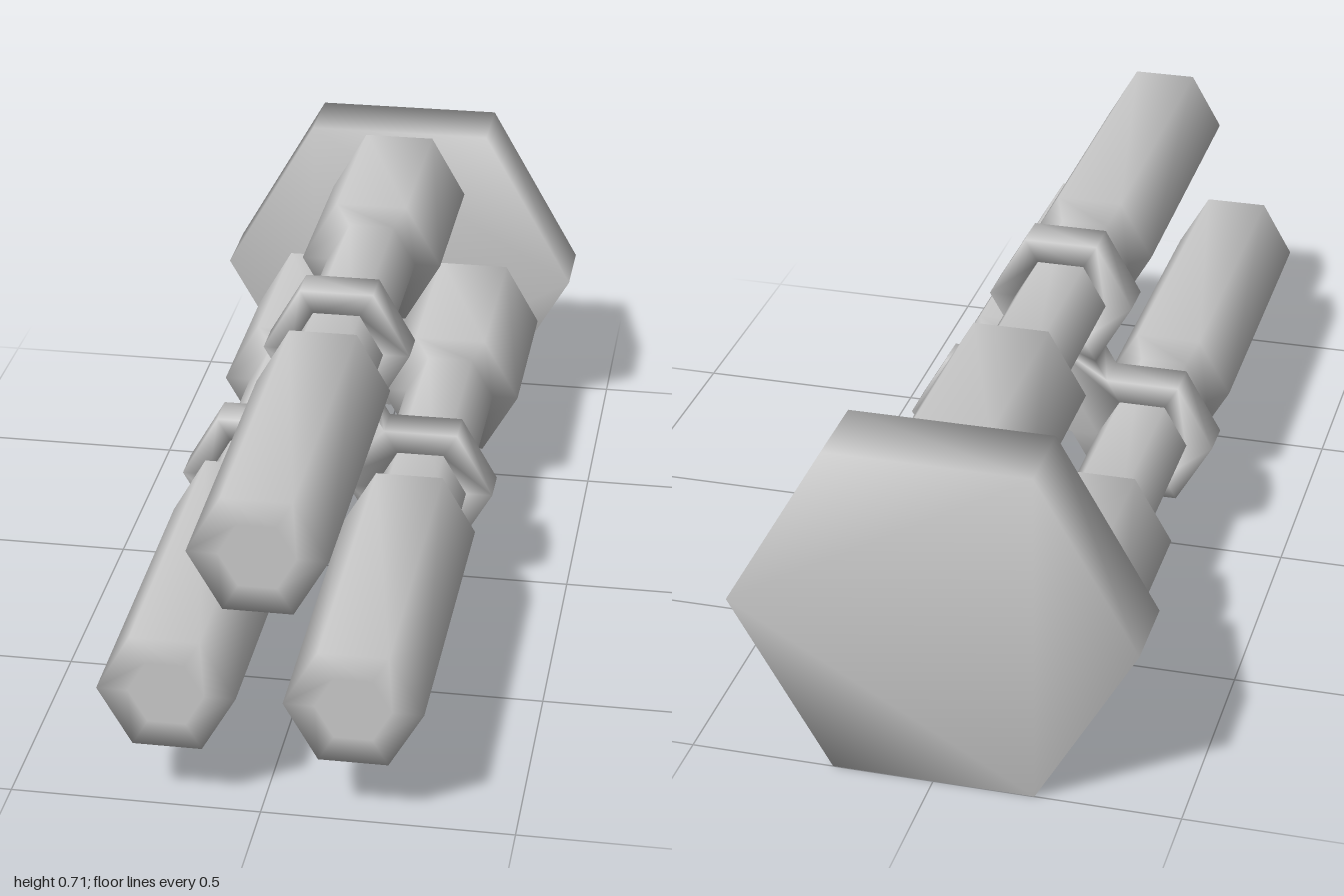
import * as THREE from 'three';
import { mergeVertices } from 'three/addons/utils/BufferGeometryUtils.js';

const CENTRE_Y = 0.357;
const ARM = 0.211; // distance of each barrel from the central axis
const material = new THREE.MeshStandardMaterial({ color: 0xcccccc });

// Weld all corners so the shading runs smoothly across every edge
function smooth(geometry) {
  geometry.deleteAttribute('normal');
  geometry.deleteAttribute('uv');
  const welded = mergeVertices(geometry, 1e-4);
  welded.computeVertexNormals();
  return welded;
}

function hexagon(radius, cx = 0, cy = 0) {
  return Array.from({ length: 6 }, (_, i) => {
    const a = (i * Math.PI) / 3;
    return new THREE.Vector2(cx + radius * Math.cos(a), cy + radius * Math.sin(a));
  });
}

function slab(shape, z, depth) {
  const geometry = new THREE.ExtrudeGeometry(shape, { depth, bevelEnabled: false });
  geometry.translate(0, CENTRE_Y, z);
  return smooth(geometry);
}

export function createModel() {
  const group = new THREE.Group();
  const add = (name, geometry) => {
    const mesh = new THREE.Mesh(geometry, material);
    mesh.name = name;
    group.add(mesh);
    return mesh;
  };

  // Hexagonal rear plate
  add('rearPlate', slab(new THREE.Shape(hexagon(0.412)), -1, 0.17));

  // Barrel profile: housing, neck, flared barrel, inset muzzle face
  const profile = [
    [0.157, -0.84], [0.157, -0.4], [0.1, -0.4], [0.1, 0.21],
    [0.141, 0.255], [0.137, 1], [0.075, 1], [0, 1],
  ].map(([r, z]) => new THREE.Vector2(r, z));
  const barrel = new THREE.LatheGeometry(profile, 6, Math.PI / 2);
  barrel.rotateX(Math.PI / 2);
  const barrelGeometry = smooth(barrel);

  // Three barrels, and the clamp outline that wraps around them
  const outline = [];
  const holes = [];
  for (let i = 0; i < 3; i++) {
    const turn = (i * 2 * Math.PI) / 3;
    const cx = -ARM * Math.sin(turn);
    const cy = ARM * Math.cos(turn);
    add(['topBarrel', 'rightBarrel', 'leftBarrel'][i], barrelGeometry)
      .position.set(cx, CENTRE_Y + cy, 0);

    // Each arm starts at its inner corner and runs round the hexagon
    for (let k = 0; k < 6; k++) {
      const a = turn - Math.PI / 3 + (k * Math.PI) / 3;
      outline.push(new THREE.Vector2(cx + 0.157 * Math.cos(a), cy + 0.157 * Math.sin(a)));
    }
    holes.push(new THREE.Path(hexagon(0.098, cx, cy)));
  }
  const clamp = new THREE.Shape(outline);
  clamp.holes.push(...holes);
  add('clamp', slab(clamp, 0, 0.085));

  return group;
}
